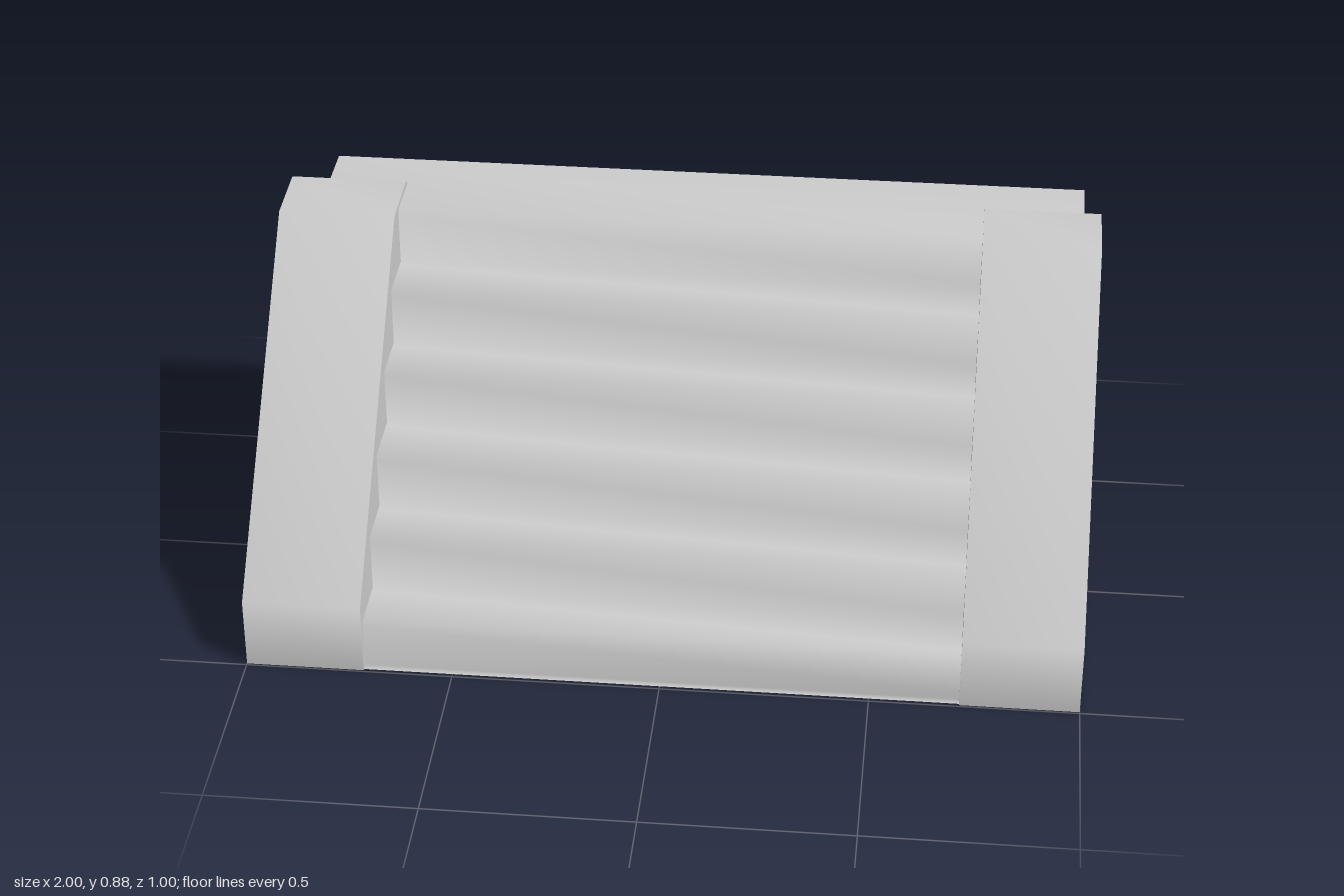
import * as THREE from 'three';

// Side profile of the flanking walls as [z, y], from front foot to back top
const RAMP = [[0.495, 0], [0.495, 0.18], [-0.185, 0.87], [-0.355, 0.875], [-0.38, 0.86]];
const BACK_Z = -0.38;
const INNER_X = 0.715;

// Smooth-shaded sheet: a [z, y] profile swept from x0 to x1
function sweptSheet(profile, x0, x1) {
  const positions = [], index = [];
  profile.forEach(([z, y], i) => {
    positions.push(x0, y, z, x1, y, z);
    if (i < profile.length - 1) {
      const a = i * 2;
      index.push(a, a + 1, a + 2, a + 1, a + 3, a + 2);
    }
  });
  const geometry = new THREE.BufferGeometry();
  geometry.setAttribute('position', new THREE.Float32BufferAttribute(positions, 3));
  geometry.setIndex(index);
  geometry.computeVertexNormals();
  return geometry;
}

// Stair profile: floor lip, then risers and treads, ending in the landing
function stairProfile() {
  const treadY = [0.13, 0.277, 0.423, 0.568, 0.715, 0.86];
  const riserZ = [0.472, 0.332, 0.195, 0.047, -0.093, -0.237];
  const profile = [[0.49, 0]];
  let y = 0;
  riserZ.forEach((z, i) => {
    profile.push([z, y], [z, treadY[i]]);
    y = treadY[i];
  });
  profile.push([-0.5, y]);
  return profile;
}

export function createModel() {
  const model = new THREE.Group();
  model.name = 'staircase';
  const stone = new THREE.MeshStandardMaterial({ color: 0xcccccc, side: THREE.DoubleSide });
  stone.name = 'light grey stone';

  const add = (name, geometry, parent = model) => {
    const mesh = new THREE.Mesh(geometry, stone);
    mesh.name = name;
    parent.add(mesh);
    return mesh;
  };

  // Steps run on underneath the side walls
  add('steps', sweptSheet(stairProfile(), -0.91, 0.96));

  // Upright wall sheet in the z-y plane
  const outline = [...RAMP, [BACK_Z, 0]].map(([z, y]) => new THREE.Vector2(z, y));
  const wall = new THREE.ShapeGeometry(new THREE.Shape(outline));
  wall.rotateY(-Math.PI / 2);

  // Hollow flanking walls, open at the back and below
  for (const [side, s] of [['left', 1], ['right', -1]]) {
    const flank = new THREE.Group();
    flank.name = side + 'SideWall';
    model.add(flank);
    add(side + 'Coping', sweptSheet(RAMP, Math.min(s, s * INNER_X), Math.max(s, s * INNER_X)), flank);
    add(side + 'OuterFace', wall, flank).position.x = s;
    add(side + 'InnerFace', wall, flank).position.x = s * INNER_X;
  }
  return model;
}
